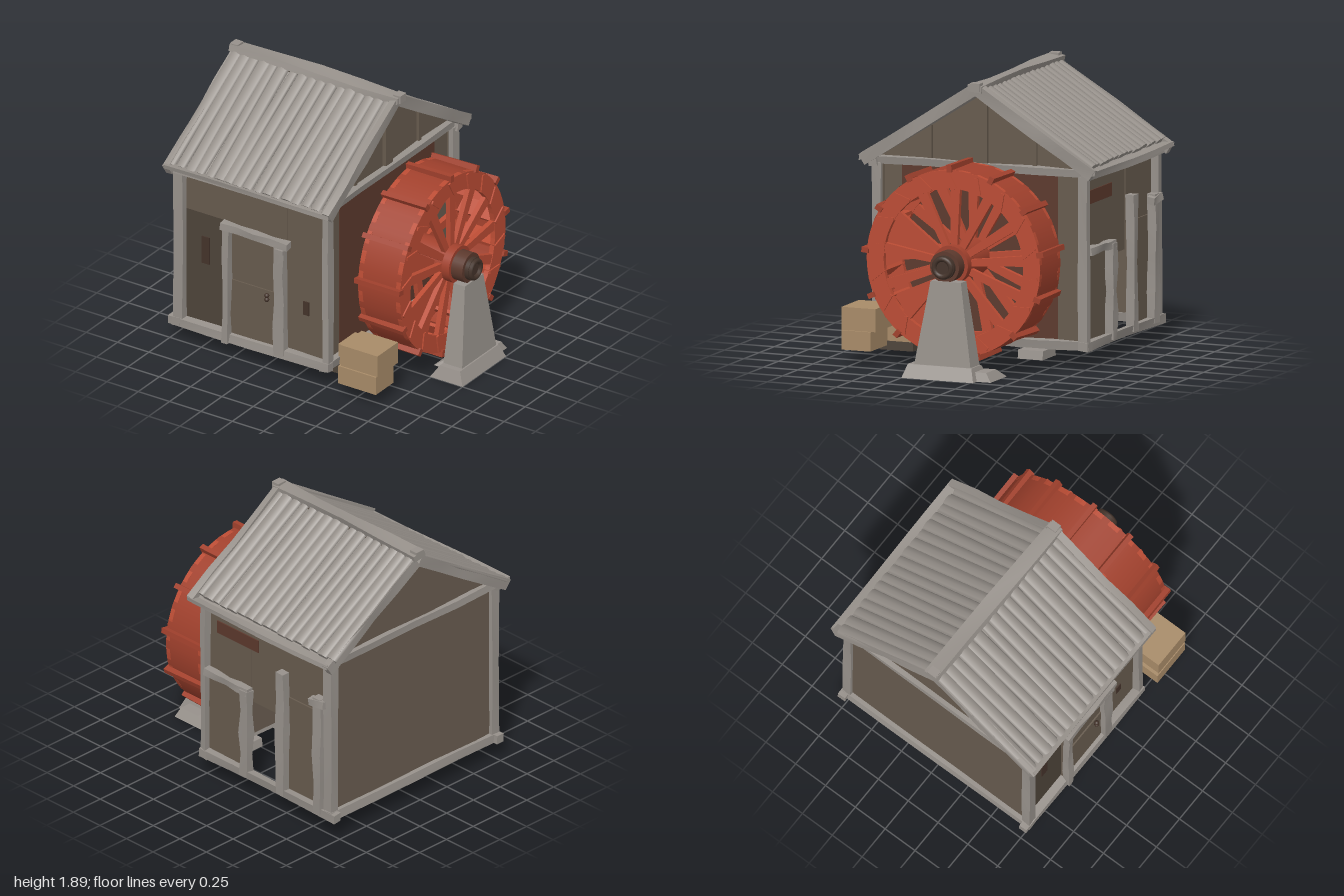
import * as THREE from 'three';

const D = THREE.DoubleSide;
const mat = (name, color) => Object.assign(new THREE.MeshStandardMaterial({ color, side: D }), { name });

export function createModel() {
  const model = new THREE.Group();
  model.name = 'watermill';
  const grey = mat('weathered timber', 0x97918b);
  const wall = mat('wall boards', 0x675b4e);
  const dark = mat('dark boards', 0x4e443a);
  const rust = mat('red brown boards', 0x5c392d);
  const red = mat('wheel red', 0xbb4c34);
  const deepRed = mat('drum red', 0xa2412d);
  const tan = mat('crate tan', 0xa88b68);
  const iron = mat('dark iron', 0x44332a);

  let seed = 7;
  const rnd = () => ((seed = (seed * 16807) % 2147483647) / 2147483647);
  const jit = (a) => (rnd() - 0.5) * 2 * a;

  const add = (name, geo, m, parent = model) => {
    const mesh = new THREE.Mesh(geo, m);
    mesh.name = name;
    parent.add(mesh);
    return mesh;
  };
  const box = (name, m, x0, x1, y0, y1, z0, z1, parent) => {
    const g = new THREE.BoxGeometry(x1 - x0, y1 - y0, z1 - z0);
    g.translate((x0 + x1) / 2, (y0 + y1) / 2, (z0 + z1) / 2);
    return add(name, g, m, parent);
  };
  // hand-hewn beam between two points: corners wander slightly by a positional rule
  const beam = (name, m, a, b, w, h, wob = 0.006) => {
    const p = new THREE.Vector3(...a), q = new THREE.Vector3(...b);
    const g = new THREE.BoxGeometry(w, h, p.distanceTo(q), 1, 1, 4);
    const v = g.attributes.position, k = rnd() * 9;
    for (let i = 0; i < v.count; i++) {
      const x = v.getX(i), y = v.getY(i), z = v.getZ(i);
      v.setXYZ(i, x + wob * Math.sin(z * 17 + k + y * 40), y + wob * Math.sin(z * 23 + k * 2 + x * 40), z);
    }
    g.computeVertexNormals();
    const mesh = add(name, g, m);
    mesh.position.copy(p).lerp(q, 0.5);
    mesh.lookAt(q);
    return mesh;
  };
  // block whose top differs in size and place from its bottom: [x0, x1, z0, z1]
  const taper = (name, m, y0, y1, lo, hi) => {
    const g = new THREE.BoxGeometry(1, 1, 1), v = g.attributes.position;
    for (let i = 0; i < v.count; i++) {
      const r = v.getY(i) < 0 ? lo : hi;
      v.setXYZ(i, v.getX(i) < 0 ? r[0] : r[1], v.getY(i) < 0 ? y0 : y1, v.getZ(i) < 0 ? r[2] : r[3]);
    }
    g.computeVertexNormals();
    return add(name, g, m);
  };
  const shapeOf = (pts) => new THREE.Shape(pts.map((p) => new THREE.Vector2(...p)));
  // extrude an outline drawn as seen from +x, starting at the given x
  const sidePlate = (name, m, shape, x, depth, parent) => {
    const g = new THREE.ExtrudeGeometry(shape, { depth, bevelEnabled: false, curveSegments: 32 });
    g.rotateY(Math.PI / 2);
    g.translate(x, 0, 0);
    return add(name, g, m, parent);
  };

  // frame: sills, top plates and corner posts
  for (const s of [-1, 1]) {
    beam('sill', grey, [-0.99, 0.16, s * 0.76], [0.29, 0.16, s * 0.76], 0.06, 0.06);
    beam('eaveBeam', grey, [-0.97, 1.31, s * 0.77], [0.3, 1.31, s * 0.77], 0.06, 0.06);
    for (const [x, w] of [[-0.915, 0.07], [0.26, 0.045]])
      beam('cornerPost', grey, [x, 0.14, s * 0.75], [x, 1.3, s * 0.75], w, 0.065, 0.004);
  }
  for (const x of [-0.93, 0.25]) {
    beam('sideSill', grey, [x, 0.16, -0.79], [x, 0.16, 0.79], 0.06, 0.06);
    beam('tieBeam', grey, [x, 1.32, -0.78], [x, 1.32, 0.78], 0.05, 0.05);
  }

  // front wall
  box('frontPanelLeftLow', dark, -0.91, -0.53, 0.17, 1.0, 0.71, 0.73);
  box('frontPanelLeftHigh', wall, -0.91, -0.55, 1.0, 1.3, 0.71, 0.73);
  box('frontPanelMiddle', wall, -0.55, -0.07, 0.97, 1.3, 0.72, 0.74);
  box('frontPanelRight', wall, -0.12, 0.25, 0.17, 1.3, 0.71, 0.73);
  box('windowSlot', iron, -0.755, -0.695, 0.63, 0.83, 0.73, 0.738);
  box('windowSlot', iron, 0.055, 0.1, 0.48, 0.58, 0.73, 0.738);

  // door, its frame and handle
  box('doorUpper', wall, -0.54, -0.1, 0.59, 0.98, 0.733, 0.75);
  box('doorLower', wall, -0.54, -0.1, 0.14, 0.59, 0.733, 0.76);
  beam('doorPost', grey, [-0.525, 0.12, 0.78], [-0.525, 0.97, 0.78], 0.045, 0.05);
  beam('doorPost', grey, [-0.105, 0.14, 0.77], [-0.105, 0.96, 0.77], 0.08, 0.05);
  beam('doorLintel', grey, [-0.56, 0.995, 0.785], [-0.03, 0.985, 0.785], 0.05, 0.05);
  box('latch', grey, -0.13, -0.06, 0.92, 0.95, 0.78, 0.81);
  for (const y of [0.53, 0.56]) {
    const knob = add('doorKnob', new THREE.SphereGeometry(0.017, 10, 8), iron);
    knob.position.set(-0.21, y, 0.775);
  }

  // side walls: the wheel side is lined with plain boards inside
  box('leftWall', wall, -0.925, -0.905, 0.16, 1.32, -0.75, 0.75);
  box('rightWallLining', wall, 0.2, 0.22, 0.17, 1.3, -0.73, 0.73);
  box('rightWallEdge', wall, 0.22, 0.235, 0.17, 1.3, 0.58, 0.73);
  box('rightWallEdge', wall, 0.22, 0.235, 0.17, 1.3, -0.73, -0.55);
  box('rightWall', rust, 0.222, 0.24, 0.17, 1.3, -0.55, 0.58);

  // gables
  const gable = shapeOf([[-0.79, 1.32], [0.79, 1.32], [0, 1.825]]);
  sidePlate('leftGable', wall, gable, -0.925, 0.02);
  sidePlate('rightGable', wall, gable, 0.2, 0.02);
  for (const z of [-0.38, 0.38]) box('gableStud', wall, 0.22, 0.24, 1.33, 1.57, z - 0.015, z + 0.015);
  box('kingPost', wall, 0.21, 0.25, 1.33, 1.8, -0.04, 0.04);

  // back wall: boarded bays around an open doorway
  box('backPanelRight', wall, -0.13, 0.24, 0.17, 0.78, -0.74, -0.72);
  box('backPanelLeft', wall, -0.91, -0.5, 0.17, 0.88, -0.74, -0.72);
  box('backPanelHigh', wall, -0.15, 0.24, 0.78, 1.31, -0.73, -0.71);
  box('backPanelHigh', wall, -0.91, -0.46, 0.88, 1.31, -0.73, -0.71);
  box('backPanelOverDoor', wall, -0.46, -0.15, 0.7, 1.31, -0.725, -0.71);
  box('backPatch', rust, -0.22, 0.17, 1.1, 1.19, -0.739, -0.731);
  for (const [x, top] of [[-0.14, 0.8], [-0.48, 1.07], [-0.83, 1.02]])
    beam('backPost', grey, [x, 0.15, -0.77], [x, top, -0.77], 0.07, 0.06);
  beam('backRail', grey, [-0.17, 0.79, -0.77], [0.24, 0.8, -0.77], 0.05, 0.05);
  beam('backRail', grey, [-0.9, 0.99, -0.785], [-0.76, 0.98, -0.785], 0.05, 0.05);

  // roof: rows of uneven rounded boards, barge boards, eave boards and ridge
  const slope = Math.atan2(0.5, 0.79);
  for (const s of [-1, 1]) {
    const deck = box('roofDeck', grey, -0.97, 0.29, -0.005, 0.005, -0.46, 0.46);
    deck.position.set(0, 1.57, s * 0.425);
    deck.rotation.x = s * slope;
    const n = 17, len = s < 0 ? 0.89 : 0.93;
    for (let i = 0; i < n; i++) {
      const r = 0.041 + jit(0.004);
      const g = new THREE.CylinderGeometry(r + jit(0.008), r + jit(0.008), len + jit(0.012), 8, 1);
      g.scale(1, 1, 0.5);
      const slat = add('roofBoard', g, grey);
      slat.position.set(-0.95 + (i * 1.23) / (n - 1), s < 0 ? 1.6 : 1.588, s * (s < 0 ? 0.41 : 0.425));
      slat.rotation.set(s * (slope + Math.PI / 2), 0, jit(0.015));
    }
    // the far barge board tucks under the roof boards
    for (const [x, drop] of [[-0.965, 0.035], [0.31, 0]])
      beam('bargeBoard', grey, [x, 1.845 - drop, s * 0.01], [x, 1.325 - drop / 2, s * 0.835], 0.05, 0.08);
    beam('eaveBoard', grey, [-0.98, 1.335, s * 0.825], [0.33, 1.335, s * 0.825], 0.06, 0.03);
  }
  beam('ridgeBeam', grey, [-1.0, 1.86, 0], [0.35, 1.86, 0], 0.1, 0.045, 0.01);
  for (const x of [-0.97, 0.33]) box('ridgeCap', grey, x - 0.03, x + 0.03, 1.84, 1.895, -0.035, 0.035);

  // water wheel
  const wheel = new THREE.Group();
  wheel.name = 'waterWheel';
  wheel.position.set(0.58, 0.745, -0.015);
  model.add(wheel);
  const tube = (name, m, r, x0, x1, open = false) => {
    const g = new THREE.CylinderGeometry(r, r, x1 - x0, 28, 1, open);
    g.rotateZ(Math.PI / 2);
    g.translate((x0 + x1) / 2, 0, 0);
    return add(name, g, m, wheel);
  };
  tube('drum', deepRed, 0.63, -0.17, 0.165, true);
  for (const x of [-0.17, 0.13]) {
    const ring = new THREE.Shape().absarc(0, 0, 0.628, 0, Math.PI * 2);
    ring.holes.push(new THREE.Path().absarc(0, 0, 0.505, 0, Math.PI * 2, true));
    sidePlate('rimRing', red, ring, x, 0.035, wheel);
    for (let i = 0; i < 13; i++) {
      const spoke = shapeOf([[0.08, -0.022], [0.53, -0.036], [0.53, 0.036], [0.08, 0.022]]);
      sidePlate('spoke', red, spoke, x - 0.005, 0.035, wheel).rotation.x = (i / 13) * Math.PI * 2 + 0.1;
    }
  }
  // boarded bays between spokes
  sidePlate('wheelBoard', red, shapeOf([[-0.08, 0.02], [-0.43, 0.27], [-0.52, 0.13], [-0.52, -0.02]]), 0.08, 0.02, wheel);
  sidePlate('wheelBoard', red, shapeOf([[-0.07, -0.08], [-0.46, -0.25], [-0.32, -0.42], [-0.2, -0.48]]), 0.08, 0.02, wheel);
  for (let i = 0; i < 18; i++) {
    const a = (i / 18) * Math.PI * 2 + 0.15;
    const bucket = box('bucket', red, -0.16, 0.175, -0.06, 0.06, -0.012, 0.012, wheel);
    bucket.position.set(0, Math.sin(a) * 0.56, Math.cos(a) * 0.56);
    bucket.rotation.x = Math.PI / 2 - a + 0.5;
  }
  for (let i = 0; i < 13; i++) {
    const a = (i / 13) * Math.PI * 2 + 0.08;
    const rod = box('paddleRod', deepRed, -0.18, 0.18, -0.025, 0.025, -0.018, 0.018, wheel);
    rod.position.set(0, Math.sin(a) * 0.638, Math.cos(a) * 0.638);
    rod.rotation.set(Math.PI / 2 - a, 0, jit(0.03));
  }

  // axle and hub
  tube('axle', rust, 0.05, -0.36, 0.3);
  tube('innerCollar', rust, 0.09, -0.23, -0.16);
  tube('hub', deepRed, 0.13, -0.16, 0.22);
  tube('hubNeck', rust, 0.105, 0.22, 0.31);
  tube('axleCap', iron, 0.08, 0.31, 0.34);
  const capRing = add('axleRing', new THREE.TorusGeometry(0.06, 0.018, 8, 20), iron, wheel);
  capRing.rotation.y = Math.PI / 2;
  capRing.position.x = 0.345;

  // bearing pillar on its footing
  taper('pillar', grey, 0.08, 0.65, [0.8, 0.95, -0.23, 0.18], [0.815, 0.905, -0.14, 0.08]);
  taper('footing', grey, 0, 0.09, [0.74, 1.0, -0.27, 0.25], [0.8, 0.96, -0.24, 0.22]);
  taper('footingStone', grey, 0, 0.06, [0.67, 0.94, -0.37, 0.1], [0.76, 0.92, -0.33, 0.05]);

  // planks and crates beside the wheel
  for (const [z0, z1] of [[-0.5, -0.32], [-0.1, 0.06], [0.24, 0.4]])
    taper('plank', grey, 0.07, 0.13, [0.16, 0.38, z0, z1], [0.17, 0.37, z0, z1]);
  box('plank', dark, 0.2, 0.42, 0.07, 0.13, 0.42, 0.66);
  box('crate', tan, 0.27, 0.41, 0.13, 0.28, 0.44, 0.64);
  box('crate', tan, 0.39, 0.69, 0.1, 0.23, 0.61, 0.82);
  box('crate', tan, 0.41, 0.7, 0.235, 0.39, 0.57, 0.815);

  return model;
}
